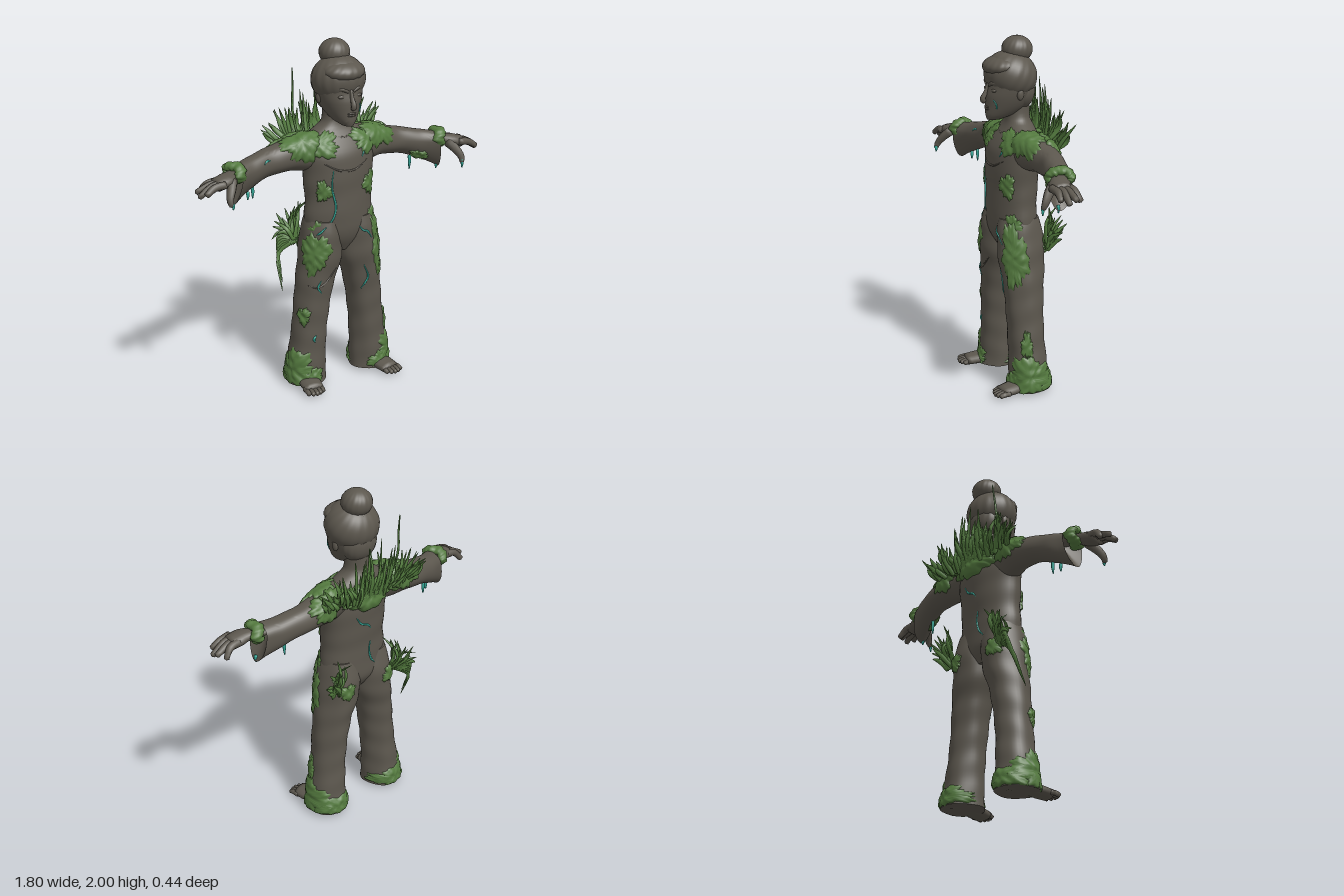
import * as THREE from 'three';
import { mergeGeometries, mergeVertices, toCreasedNormals } from 'three/addons/utils/BufferGeometryUtils.js';

const V = (x, y, z) => new THREE.Vector3(x, y, z);
const material = (name, color) => Object.assign(new THREE.MeshStandardMaterial({ color }), { name });
const { sin, cos, PI, abs, sqrt, min, max } = Math;

export function createModel() {
  const stone = material('stone', 0x5c574e);
  const moss = material('moss', 0x547a3f);
  const grass = material('grass', 0x537b3e);
  const teal = material('teal', 0x34a898);
  const root = new THREE.Group();
  root.name = 'overgrownStatue';

  let seed = 7;
  const rand = (a, b) => {
    seed = (seed * 16807) % 2147483647;
    return a + (b - a) * seed / 2147483647;
  };
  const add = (name, geo, mat) => {
    const m = new THREE.Mesh(Array.isArray(geo) ? mergeGeometries(geo) : geo, mat);
    m.name = name;
    root.add(m);
    return m;
  };

  // Grid surface: fn(u, v), outside lies along dU x dV
  function grid(fn, n, m, flip = false) {
    const pos = [], idx = [];
    for (let i = 0; i <= n; i++) for (let j = 0; j <= m; j++) pos.push(...fn(i / n, j / m, i, n).toArray());
    for (let i = 0; i < n; i++) for (let j = 0; j < m; j++) {
      const a = i * (m + 1) + j, b = a + m + 1;
      if (flip) idx.push(a, a + 1, b, b, a + 1, b + 1);
      else idx.push(a, b, a + 1, b, b + 1, a + 1);
    }
    const g = new THREE.BufferGeometry();
    g.setAttribute('position', new THREE.Float32BufferAttribute(pos, 3));
    g.setIndex(idx);
    const merged = mergeVertices(g, 1e-5);
    merged.computeVertexNormals();
    return merged;
  }

  // Surface through rows [s, centre1, centre2, a, b+, b-], along y or x; angles in degrees
  function skin(rows, axis, fold = 0.02, lean = 0) {
    const at = (s) => {
      let i = 0;
      while (i < rows.length - 2 && s > rows[i + 1][0]) i++;
      const p = rows[i], q = rows[i + 1], o = rows[max(i - 1, 0)], r = rows[min(i + 2, rows.length - 1)];
      const h = q[0] - p[0], t = (s - p[0]) / h;
      return p.map((_, k) => {
        const m0 = (q[k] - o[k]) / (q[0] - o[0]) * h, m1 = (r[k] - p[k]) / (r[0] - p[0]) * h;
        return p[k] * (2 * t ** 3 - 3 * t * t + 1) + m0 * (t ** 3 - 2 * t * t + t)
          + q[k] * (3 * t * t - 2 * t ** 3) + m1 * (t ** 3 - t * t);
      });
    };
    const lo = rows[0][0], hi = rows[rows.length - 1][0];
    const f = (deg, s0, scale = 1) => {
      const s = min(max(s0, lo), hi), [, c1, c2, a, bp, bn] = at(s), th = deg * PI / 180;
      const k = scale * (1 + fold * sin(3 * th + 17 * s) * sin(2 * th - 23 * s + 1));
      const A = a * cos(th) * k, B = (sin(th) > 0 ? bp : bn) * sin(th) * k;
      if (axis === 'y') return V(c1 + A, s, c2 + B);
      return V(s - lean * B * ((s - lo) / (hi - lo)) ** 3, c1 + B, c2 + A);
    };
    f.range = [lo, hi];
    return f;
  }
  const normalAt = (f, d, s) => {
    const e = min(max(s, f.range[0] + 0.004), f.range[1] - 0.004);
    return f(d, e + 0.003).sub(f(d, e - 0.003)).cross(f(d + 1, e).sub(f(d - 1, e))).normalize();
  };
  const mirrored = (p, side) => { p.x *= side; return p; };

  // Closed body part; inset hollows the far end
  function body(name, f, side = 1, inset = 0) {
    const [lo, hi] = f.range;
    const g = grid((u, v, i, n) => {
      const s = lo + (hi - lo) * min(max((i - 1) / (n - 2), 0), 1);
      const p = f(v * 360, s, i === 0 || i === n ? 0 : 1);
      if (i === n) p.x -= inset;
      return mirrored(p, side);
    }, 44, 40, side < 0);
    add(name, toCreasedNormals(g, 1), stone);
  }

  // Ragged lumpy pad lying on a surface
  function patch(f, side, d0, s0, rd, rs, thick = 0.016) {
    const k = rand(0, 6);
    return grid((u, r) => {
      const a = u * 2 * PI;
      const edge = 1 + 0.14 * sin(3 * a + k) + 0.1 * sin(7 * a + 2 * k) + 0.09 * sin(17 * a + k);
      const d = d0 + rd * r * edge * cos(a), s = s0 + rs * r * edge * sin(a);
      const p = f(d, s);
      const bump = 0.003 * sin(p.x * 130 + k) * sin(p.y * 110) + 0.002 * sin(p.z * 150 + p.y * 90);
      const lift = -0.004 + (thick + bump) * sqrt(max(0, 1 - r ** 4));
      return mirrored(p.addScaledVector(normalAt(f, d, s), lift), side);
    }, 68, 10, side < 0);
  }

  // Tapered tube through points, thin towards ref by the factor flat
  function taper(points, radii, flat = 1, ref = V(0, 0, 1), steps = 10, sides = 8) {
    const curve = new THREE.CatmullRomCurve3(points);
    return grid((u, v, i, n) => {
      const t = min(max((i - 0.6) / (n - 1.2), 0), 1), T = curve.getTangent(t);
      const N = ref.clone().addScaledVector(T, -ref.dot(T)).normalize(), B = T.clone().cross(N);
      const x = t * (radii.length - 1), j = min(Math.floor(x), radii.length - 2);
      const r = i === 0 || i === n ? 0 : radii[j] + (radii[j + 1] - radii[j]) * (x - j), a = v * 2 * PI;
      return curve.getPoint(t).addScaledVector(N, r * flat * cos(a)).addScaledVector(B, -r * sin(a));
    }, steps, sides);
  }
  const line = (f, side, path, r = 0.0055) => taper(path.map(([d, s]) => mirrored(f(d, s), side)),
    [r * 0.4, r, r, r * 0.4], 1, V(0.31, 0.2, 0.93), 24, 8);

  // Clothed torso with neck, legs and sleeves
  const torso = skin([
    [0.8, 0, 0, 0.06, 0.07, 0.08], [0.88, 0, 0, 0.19, 0.114, 0.122], [1.0, 0, 0, 0.212, 0.133, 0.122],
    [1.1, 0, 0, 0.205, 0.13, 0.125], [1.25, 0, 0, 0.213, 0.13, 0.138], [1.36, 0, 0, 0.225, 0.122, 0.142],
    [1.44, 0, -0.01, 0.22, 0.095, 0.125], [1.5, 0, -0.025, 0.14, 0.07, 0.1], [1.54, 0, -0.03, 0.078, 0.06, 0.08],
    [1.66, 0, -0.03, 0.07, 0.06, 0.075]], 'y');
  const leg = skin([
    [0.015, 0.215, 0, 0.12, 0.11, 0.14], [0.1, 0.212, 0, 0.114, 0.1, 0.128], [0.35, 0.19, 0, 0.102, 0.1, 0.11],
    [0.6, 0.16, 0, 0.109, 0.112, 0.118], [0.76, 0.124, 0, 0.124, 0.128, 0.137],
    [0.9, 0.113, 0, 0.118, 0.13, 0.136], [1.0, 0.105, 0, 0.1, 0.118, 0.108]], 'y', 0.035);
  const sleeve = skin([
    [0.08, 1.39, -0.02, 0.08, 0.1, 0.1], [0.2, 1.395, -0.028, 0.095, 0.1, 0.11], [0.3, 1.38, -0.045, 0.085, 0.09, 0.09],
    [0.42, 1.365, -0.045, 0.072, 0.075, 0.085], [0.54, 1.35, -0.02, 0.07, 0.066, 0.11],
    [0.61, 1.34, 0.006, 0.07, 0.062, 0.14], [0.64, 1.335, 0.018, 0.073, 0.062, 0.156]], 'x', 0.035, 0.17);
  body('torso', torso);
  for (const side of [1, -1]) {
    body('trouserLeg', leg, side);
    body('sleeve', sleeve, side, 0.07);
  }
  const collar = add('collar', new THREE.TorusGeometry(0.1, 0.007, 8, 40), stone);
  collar.rotation.x = PI / 2 + 0.32;
  collar.scale.y = 0.82;
  collar.position.set(0, 1.49, -0.015);
  add('clothFolds', [
    line(torso, 1, [[55, 1.33], [80, 1.29], [105, 1.295], [130, 1.34]]),
    line(leg, -1, [[120, 0.72], [95, 0.65], [70, 0.62], [40, 0.63]]),
  ], stone);

  // Head, hair and face
  body('head', skin([
    [1.545, 0, 0.1, 0.028, 0.045, 0.04], [1.57, 0, 0.06, 0.06, 0.092, 0.07], [1.62, 0, 0.03, 0.095, 0.122, 0.115],
    [1.68, 0, 0.015, 0.12, 0.137, 0.13], [1.74, 0, 0.01, 0.133, 0.132, 0.14], [1.8, 0, 0.01, 0.137, 0.138, 0.14],
    [1.87, 0, 0.005, 0.11, 0.11, 0.11]], 'y', 0));
  const ball = (name, x, y, z, rx, ry, rz, ridges = 0) => {
    const m = add(name, grid((u, v) => {
      const a = v * 2 * PI, p = u * PI, k = 1 + ridges * sin(16 * a + 3 * p) * sin(p);
      return V(rx * k * sin(p) * cos(a), -ry * cos(p), rz * k * sin(p) * sin(a));
    }, 28, 64), stone);
    m.position.set(x, y, z);
    return m;
  };
  ball('hair', 0, 1.785, 0.005, 0.153, 0.135, 0.147, 0.012).rotation.x = -0.3;
  ball('napeHair', 0, 1.7, -0.045, 0.112, 0.11, 0.085, 0.01);
  ball('hairBun', 0, 1.925, -0.035, 0.086, 0.076, 0.086, 0.012);
  ball('sweptFringe', 0, 1.842, 0.058, 0.124, 0.056, 0.104, 0.015).rotation.x = 0.12;
  add('nose', taper([V(0, 1.755, 0.137), V(0, 1.7, 0.153), V(0, 1.66, 0.172), V(0, 1.645, 0.158)],
    [0.008, 0.012, 0.017, 0.013], 1, V(1, 0, 0)), stone);
  for (const y of [1.618, 1.607]) ball('lip', 0, y, 0.145, 0.027, 0.007, 0.012);
  for (const side of [1, -1]) {
    ball('eye', side * 0.05, 1.713, 0.127, 0.024, 0.01, 0.012);
    ball('ear', side * 0.122, 1.695, 0.0, 0.014, 0.034, 0.02);
    add('brow', taper([V(side * 0.014, 1.737, 0.14), V(side * 0.05, 1.755, 0.131), V(side * 0.092, 1.75, 0.101)],
      [0.008, 0.012, 0.006]), stone);
  }

  // Hands, mossy wrist rings and feet
  for (const s of [1, -1]) {
    const P = (x, y, z) => V(s * x, y, z), up = V(0, 1, 0);
    const hand = [taper([P(0.58, 1.355, 0.0), P(0.67, 1.352, 0.035), P(0.73, 1.338, 0.06), P(0.8, 1.322, 0.07)],
      [0.038, 0.042, 0.06, 0.055], 0.62, up, 12, 12)];
    for (let i = 0; i < 4; i++) {
      const z = 0.025 + i * 0.03, len = [0.865, 0.9, 0.9, 0.875][i];
      hand.push(taper([P(0.75, 1.335, z + 0.005), P(0.82, 1.325, z), P(len, 1.275 + (i % 2) * 0.018, z - 0.02 + i * 0.01)],
        [0.022, 0.021, 0.015], 1, up));
    }
    hand.push(taper([P(0.695, 1.34, 0.075), P(0.725, 1.3, 0.12), P(0.748, 1.255, 0.15), P(0.745, 1.22, 0.165)],
      [0.03, 0.026, 0.02, 0.012], 1, V(1, 0, 0)));
    add('hand', hand, stone);
    const ring = add('wristMoss', grid((u, v) => {
      const a = u * 2 * PI, b = v * 2 * PI, r = 0.025 + 0.003 * sin(7 * a) * sin(2 * b) + 0.002 * sin(12 * a);
      return V(0.008 * sin(3 * a) + r * 1.4 * sin(b), (0.036 + r * cos(b)) * cos(a), (0.056 + r * cos(b)) * sin(a));
    }, 48, 14), moss);
    ring.position.set(s * 0.66, 1.36, 0.026);
    ring.rotation.y = -s * 0.3;

    const foot = [taper([P(0.22, 0.035, -0.09), P(0.235, 0.042, 0.03), P(0.25, 0.034, 0.11), P(0.262, 0.026, 0.185)],
      [0.05, 0.056, 0.065, 0.058], 0.5, up, 12, 12)];
    for (let i = 0; i < 5; i++) {
      const x = 0.215 + i * 0.023;
      foot.push(taper([P(x, 0.026, 0.14), P(x + 0.003, 0.026, 0.185), P(x + 0.006, 0.018, 0.21 + 0.018 * sin(i * 0.8))],
        [0.015, 0.015, 0.012]));
    }
    add('foot', foot, stone);
  }

  // Moss pads
  const pads = [patch(torso, 1, 270, 1.41, 62, 0.075, 0.04)];
  for (const s of [1, -1]) pads.push(
    patch(torso, s, 46, 1.435, 33, 0.066), patch(sleeve, s, 50, 0.24, 66, 0.12), patch(sleeve, s, 150, 0.27, 55, 0.12, 0.022),
    patch(leg, s, 15, 0.11, 78, 0.11), patch(leg, s, 275, 0.065, 85, 0.055), patch(leg, s, 82, 0.06, 38, 0.055));
  pads.push(
    patch(torso, 1, 45, 1.19, 17, 0.07), patch(torso, -1, 45, 1.18, 15, 0.06),
    patch(leg, 1, 40, 0.8, 36, 0.19), patch(torso, 1, 32, 0.97, 20, 0.06),
    patch(leg, -1, 45, 0.82, 42, 0.12), patch(torso, -1, 35, 0.94, 24, 0.06),
    patch(leg, 1, 20, 0.29, 20, 0.08), patch(leg, -1, 35, 0.44, 24, 0.055),
    patch(sleeve, 1, 305, 0.53, 25, 0.05),
    patch(leg, 1, 285, 0.83, 24, 0.05), patch(leg, -1, 290, 0.83, 24, 0.05));
  add('mossPads', pads, moss);

  // Grass mane across the shoulders, then the two hip tufts
  const blade = (a, b, c, w) => taper([a, b, c], [w * 0.85, w, w * 0.8, w * 0.15], 0.5, V(0.25, 0, 1), 8, 8);
  const mane = [];
  for (let i = 0; i < 76; i++) {
    const x = -0.3 + 0.6 * (i + rand(-0.4, 0.4)) / 75, tip = x * 1.3 + rand(-0.035, 0.035);
    const y = 1.37 + 0.14 * abs(x) + rand(-0.02, 0.05);
    const z = -0.14 - rand(0, 0.025) + 0.06 * abs(x);
    const top = max(y + 0.09, 1.78 - 0.55 * abs(tip) - rand(0, 0.2));
    mane.push(blade(V(x, y, z), V(x * 0.5 + tip * 0.5, (y + top) / 2, -0.185 + 0.05 * abs(x) + rand(-0.015, 0.015)),
      V(tip, top, rand(-0.215, -0.155)), rand(0.012, 0.017)));
  }
  add('shoulderGrass', mane, grass);
  for (const s of [1, -1]) {
    const tuft = [], inner = s > 0 ? 0.18 : 0.13;
    for (let i = 0; i < 16; i++) {
      const t = (i + rand(0, 0.6)) / 15, x = 0.215 + rand(-0.03, 0.03), y = 0.83 + rand(-0.02, 0.03);
      const tx = inner + (0.325 - inner) * t, ty = 1.06 - 0.12 * t * t + rand(-0.07, 0.02);
      tuft.push(blade(V(s * x, y, -0.11), V(s * (x + tx) / 2, (y + ty) / 2 + 0.02, -0.15 + rand(-0.03, 0.03)),
        V(s * tx, ty, rand(-0.21, -0.1)), 0.014));
    }
    if (s < 0) for (let i = 0; i < 7; i++) tuft.push(blade(V(-0.215, 0.84, -0.11),
      V(-0.285 - i * 0.004, 0.88 - i * 0.018, -0.175 + i * 0.006), V(-0.33 + rand(-0.01, 0.012), 0.85 - i * 0.048, -0.17 + i * 0.02), 0.015));
    add('hipGrass', tuft, grass);
  }
  add('tallStem', taper([V(-0.2, 1.46, -0.1), V(-0.208, 1.6, -0.14), V(-0.2, 1.73, -0.15), V(-0.193, 1.84, -0.165)],
    [0.007, 0.007, 0.006, 0.003], 1, V(0, 0, 1), 12, 6), grass);

  // Glowing veins and drips
  add('veins', [
    line(torso, 1, [[116, 1.3], [120, 1.2], [114, 1.08], [122, 1.0], [140, 0.97]]),
    line(leg, -1, [[70, 0.975], [55, 0.945], [45, 0.93]]),
    line(leg, 1, [[112, 0.95], [100, 0.92], [88, 0.91], [72, 0.86]]),
    line(torso, 1, [[66, 1.42], [62, 1.38], [66, 1.35]]),
    line(torso, 1, [[292, 1.285], [284, 1.24], [270, 1.215], [265, 1.19]]),
    line(torso, 1, [[263, 1.1], [265, 1.04], [261, 0.98], [252, 0.94]]),
    line(leg, 1, [[105, 0.7], [100, 0.62], [112, 0.58], [128, 0.54]]),
    line(leg, -1, [[75, 0.66], [70, 0.62], [85, 0.58]]),
    line(leg, -1, [[84, 0.32], [78, 0.3], [82, 0.28]], 0.007),
    line(sleeve, -1, [[20, 0.44], [25, 0.46], [15, 0.48]]),
    taper([V(0.06, 1.665, 0.135), V(0.07, 1.64, 0.122), V(0.065, 1.61, 0.115)], [0.003, 0.005, 0.003]),
  ], teal);
  add('drips', [[0.5, 1.26, 1.17, -0.02], [0.655, 1.21, 1.165, 0.03], [0.745, 1.245, 1.19, 0.164], [-0.53, 1.25, 1.175, -0.02],
    [-0.57, 1.23, 1.18, 0], [-0.74, 1.24, 1.205, 0.165]].map(([x, a, b, z]) =>
    taper([V(x, a, z), V(x + 0.002, (a + b) / 2, z), V(x, b, z)], [0.01, 0.009, 0.003], 1, V(0, 0, 1), 8, 8)), teal);
  return root;
}
